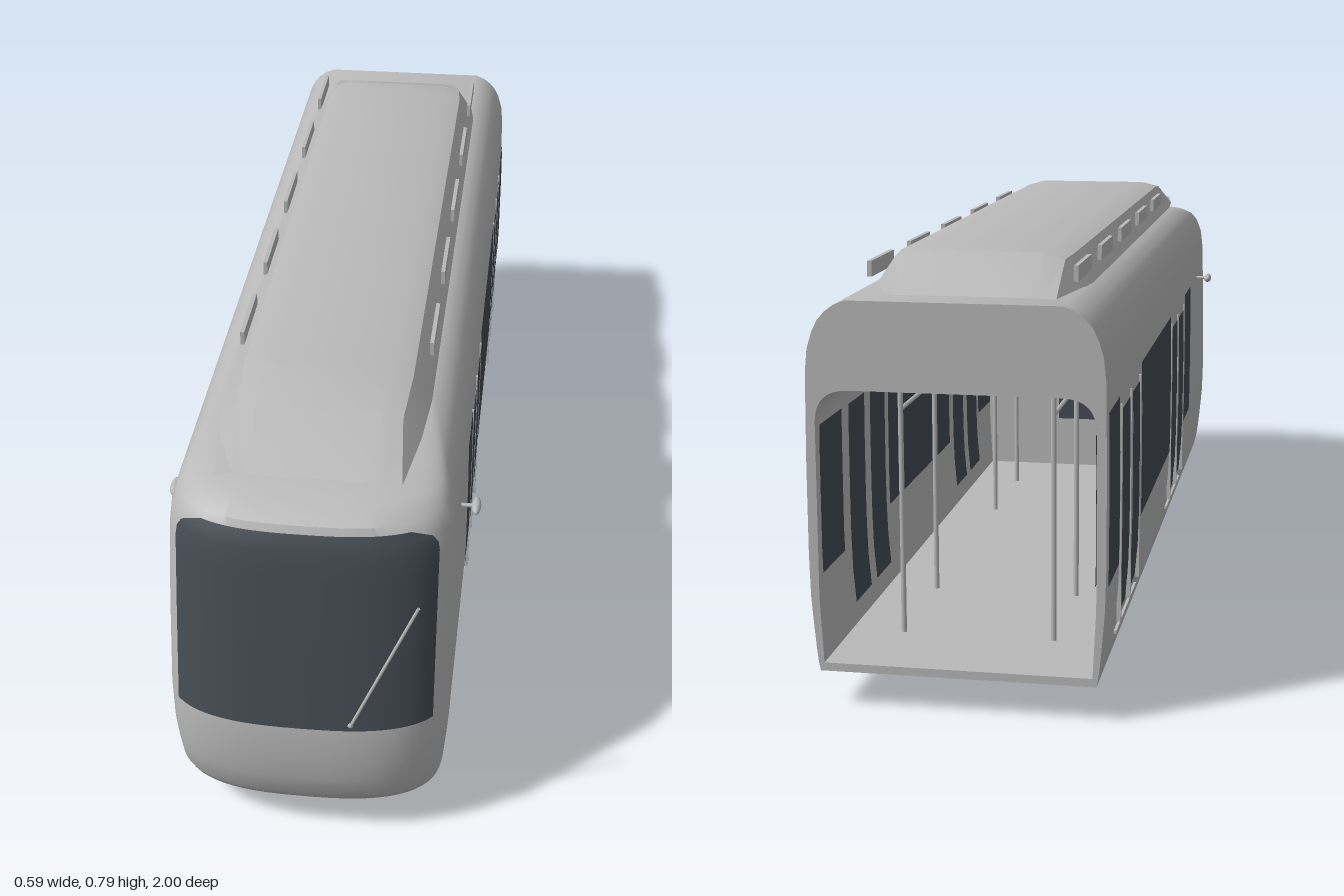
import * as THREE from 'three';
import { mergeGeometries, toCreasedNormals } from 'three/addons/utils/BufferGeometryUtils.js';

// Body profile: height, half width, front z
const PROFILE = [
  [0.065, 0.245, 0.94], [0.08, 0.248, 0.968], [0.105, 0.251, 0.984], [0.15, 0.255, 0.993],
  [0.2, 0.259, 0.998], [0.28, 0.261, 0.996], [0.45, 0.261, 0.966], [0.6, 0.259, 0.938],
  [0.64, 0.255, 0.928], [0.67, 0.246, 0.912], [0.69, 0.236, 0.872], [0.705, 0.223, 0.81],
  [0.717, 0.207, 0.73], [0.725, 0.187, 0.64],
];
const NOSE = 0.146, POWER = 2.7, BACK = -0.999, STEPS = 32;

function profileAt(y) {
  let k = 1;
  while (k < PROFILE.length - 1 && PROFILE[k][0] < y) k++;
  const [a, b] = [PROFILE[k - 1], PROFILE[k]];
  const t = (y - a[0]) / (b[0] - a[0]);
  return { w: a[1] + (b[1] - a[1]) * t, f: a[2] + (b[2] - a[2]) * t };
}

function frontZ(x, y) {
  const { w, f } = profileAt(y);
  return f - NOSE + NOSE * (1 - Math.min(1, Math.abs(x) / w) ** POWER) ** (1 / POWER);
}

// Surface through rows of points
function grid(rows) {
  const n = rows[0].length, index = [];
  for (let j = 0; j < rows.length - 1; j++) {
    for (let i = 0; i < n - 1; i++) {
      const a = j * n + i, b = a + 1, d = a + n, c = d + 1;
      index.push(a, d, c, a, c, b);
    }
  }
  const g = new THREE.BufferGeometry();
  g.setAttribute('position', new THREE.Float32BufferAttribute(rows.flat(2), 3));
  g.setIndex(index);
  g.computeVertexNormals();
  return g;
}

// Plan outline of the body at one height, right round the nose
function outline([y, w, f]) {
  const pts = [[w, y, BACK]];
  for (let i = 0; i <= STEPS; i++) {
    const t = (i / STEPS) * Math.PI, c = Math.cos(t), e = 2 / POWER;
    pts.push([w * Math.sign(c) * Math.abs(c) ** e, y, f - NOSE + NOSE * Math.max(0, Math.sin(t)) ** e]);
  }
  pts.push([-w, y, BACK]);
  return pts;
}

function cap(level) {
  const pts = outline(level), half = (pts.length - 1) / 2;
  return [pts.slice(0, half + 1), pts.slice(half).reverse()];
}

export function createModel() {
  const tram = new THREE.Group();
  tram.name = 'tram';
  const grey = new THREE.MeshStandardMaterial({ color: 0xb9b9b9, side: THREE.DoubleSide });
  grey.name = 'body grey';
  const glass = new THREE.MeshStandardMaterial({ color: 0x434b52, side: THREE.DoubleSide });
  glass.name = 'dark glass';

  function add(name, geometry, material, x = 0, y = 0, z = 0) {
    const m = new THREE.Mesh(geometry, material);
    m.name = name;
    m.position.set(x, y, z);
    tram.add(m);
    return m;
  }
  const box = (name, sx, sy, sz, x, y, z) => add(name, new THREE.BoxGeometry(sx, sy, sz), grey, x, y, z);
  function rod(name, a, b, r) {
    const path = new THREE.LineCurve3(new THREE.Vector3(...a), new THREE.Vector3(...b));
    return add(name, new THREE.TubeGeometry(path, 1, r, 8), grey);
  }

  // Outer shell and underside
  const shell = mergeGeometries([grid(PROFILE.map(outline)), grid(cap(PROFILE[PROFILE.length - 1]))]);
  add('bodyShell', toCreasedNormals(shell, 0.6), grey);
  add('underside', grid(cap(PROFILE[0]).reverse()), grey);

  // Open rear end and the cabin lining behind it
  const opening = new THREE.Path();
  opening.moveTo(-0.238, 0.08);
  opening.lineTo(0.238, 0.08);
  opening.lineTo(0.244, 0.2);
  opening.lineTo(0.244, 0.51);
  opening.quadraticCurveTo(0.244, 0.57, 0.184, 0.57);
  opening.lineTo(-0.184, 0.57);
  opening.quadraticCurveTo(-0.244, 0.57, -0.244, 0.51);
  opening.lineTo(-0.244, 0.2);
  opening.closePath();
  const right = PROFILE.map(([y, w]) => new THREE.Vector2(w, y));
  const left = PROFILE.map(([y, w]) => new THREE.Vector2(-w, y)).reverse();
  const rear = new THREE.Shape([...right, ...left]);
  rear.holes.push(opening);
  add('rearFrame', new THREE.ShapeGeometry(rear).rotateY(Math.PI), grey, 0, 0, BACK);
  const loop = opening.getPoints(8);
  const lining = grid([BACK, 0.47].map((z) => loop.map((p) => [p.x, p.y, z])));
  add('cabinLining', toCreasedNormals(lining, 0.6), grey);
  add('cabPartition', new THREE.ShapeGeometry(new THREE.Shape(loop)).rotateY(Math.PI), grey, 0, 0, 0.47);
  add('cabDoorGlass', new THREE.BoxGeometry(0.13, 0.3, 0.006), glass, 0, 0.35, 0.465);

  // Wraparound windscreen with rounded upper corners
  const screen = [];
  for (let j = 0; j <= 24; j++) {
    const y = 0.282 + 0.378 * (j / 24);
    const t = Math.max(0, (y - 0.615) / 0.045);
    const hw = 0.235 - 0.05 * (1 - Math.sqrt(Math.max(0, 1 - t * t)));
    const row = [];
    for (let i = 0; i <= 32; i++) {
      const x = hw * (1 - i / 16);
      row.push([x, y, frontZ(x, y) + 0.006]);
    }
    screen.push(row);
  }
  add('windscreen', grid(screen), glass);
  rod('wiper', [0.09, 0.293, 0.998], [0.207, 0.555, 0.972], 0.003);
  add('wiperPivot', new THREE.SphereGeometry(0.006, 10, 8), grey, 0.09, 0.293, 0.994);

  // Roof fairing
  const stations = [
    [0.85, 0.165, 0.004], [0.7, 0.186, 0.05], [0.57, 0.195, 0.063],
    [-0.72, 0.195, 0.063], [-0.78, 0.188, 0.06], [-0.93, 0.163, 0.002],
  ];
  const half = [[1, 0], [0.82, 0.82], [0.62, 1]];
  const section = [...half, ...half.map(([x, y]) => [-x, y]).reverse()];
  const fairing = grid(stations.map(([z, w, h]) => section.map(([x, y]) => [x * w, 0.724 + y * h, z])));
  add('roofFairing', toCreasedNormals(fairing, 0.3), grey);

  // Flat strip that follows the side wall
  function sidePanel(name, s, z0, z1, y0, y1, offset) {
    const rows = [];
    for (let j = 0; j <= 6; j++) {
      const y = y0 + (y1 - y0) * (j / 6), x = s * (profileAt(y).w + offset);
      rows.push(s > 0 ? [[x, y, z0], [x, y, z1]] : [[x, y, z1], [x, y, z0]]);
    }
    return add(name, grid(rows), glass);
  }
  const windows = [[0.31, 0.45], [-0.53, 0], [-0.985, -0.85]];
  const doors = [0.155, -0.688];

  for (const s of [1, -1]) {
    // Windows, shown on the outer wall and on the lining
    for (const [z0, z1] of windows) {
      sidePanel('sideWindow', s, z0, z1, 0.24, 0.545, 0.0025);
      sidePanel('innerWindow', s, z0, z1, 0.24, 0.505, -0.02);
    }
    // Double doors with pillars and a sill
    for (const z of doors) {
      for (const d of [-0.0725, 0.0725]) {
        sidePanel('doorGlass', s, z + d - 0.0525, z + d + 0.0525, 0.13, 0.515, 0.0025);
        sidePanel('innerDoorGlass', s, z + d - 0.0525, z + d + 0.0525, 0.13, 0.505, -0.022);
      }
      for (const d of [-0.134, 0, 0.134]) box('doorPillar', 0.008, 0.4, 0.008, s * 0.2595, 0.325, z + d);
      box('doorSill', 0.008, 0.006, 0.285, s * 0.2525, 0.106, z);
      // Grab poles by the doors
      for (const d of [-0.13, 0.13]) rod('grabPole', [s * 0.14, 0.08, z + d], [s * 0.14, 0.57, z + d], 0.005);
    }
    rod('handrail', [s * 0.14, 0.5, -0.82], [s * 0.14, 0.5, 0.285], 0.004);

    // Roof side vents
    for (let i = 0; i < 5; i++) box('roofVent', 0.008, 0.028, 0.155, s * 0.184, 0.758, 0.365 - i * 0.284);

    // Mirror on a short stem
    rod('mirrorStem', [s * 0.255, 0.54, 0.64], [s * 0.286, 0.54, 0.64], 0.004);
    add('mirror', new THREE.SphereGeometry(1, 16, 10).scale(0.009, 0.01, 0.027), grey, s * 0.288, 0.54, 0.64);
  }

  // Lower half of a disc on the axle
  function halfDisc(name, r, width, x, z) {
    const g = new THREE.CylinderGeometry(r, r, width, 20, 1, false, Math.PI, Math.PI).rotateZ(Math.PI / 2);
    add(name, g, grey, x, 0.065, z);
  }

  // Bogie: wheels, brake discs, axles and motors under the floor
  for (const z of [0.775, 0.38]) {
    for (const s of [1, -1]) {
      halfDisc('wheel', 0.058, 0.026, s * 0.167, z);
      halfDisc('wheelFlange', 0.065, 0.009, s * 0.16, z);
      halfDisc('brakeDisc', 0.037, 0.009, s * 0.103, z);
    }
    rod('axle', [-0.16, 0.056, z], [0.16, 0.056, z], 0.007);
  }
  for (const z of [0.675, 0.475]) rod('motor', [-0.09, 0.06, z], [0.065, 0.06, z], 0.02);

  return tram;
}
